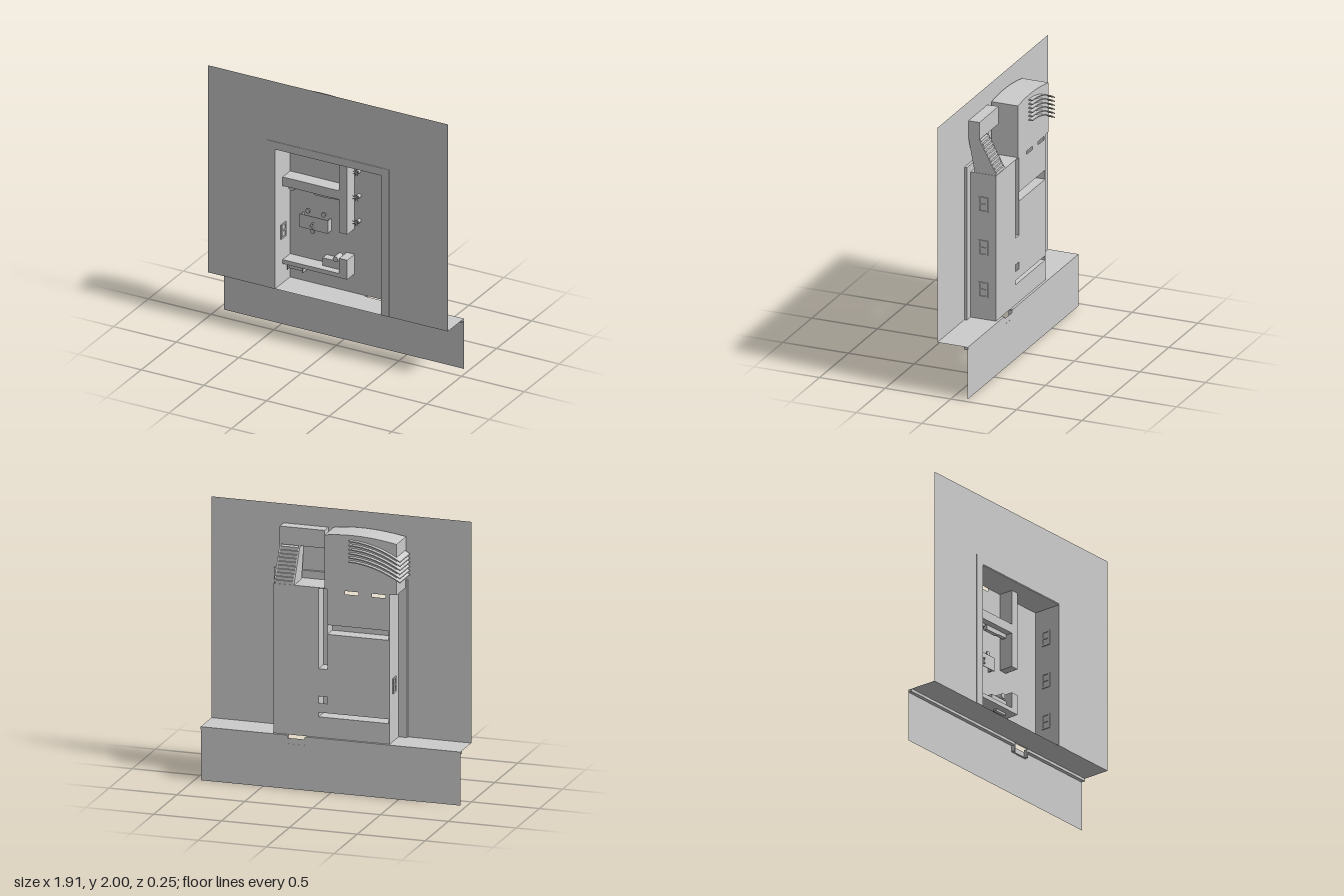
import * as THREE from 'three';

export function createModel() {
  const root = new THREE.Group();
  const gray = new THREE.MeshStandardMaterial({ color: 0xcccccc, side: THREE.DoubleSide });
  gray.name = 'light gray';

  const add = (name, geo, x = 0, y = 0, z = 0) => {
    const m = new THREE.Mesh(geo, gray);
    m.name = name;
    m.position.set(x, y, z);
    root.add(m);
    return m;
  };
  const box = (name, x0, x1, y0, y1, z0, z1) =>
    add(name, new THREE.BoxGeometry(x1 - x0, y1 - y0, z1 - z0), (x0 + x1) / 2, (y0 + y1) / 2, (z0 + z1) / 2);
  // box without its rear face
  const hollow = (name, ...b) => {
    const m = box(name, ...b);
    m.geometry.setIndex(Array.from(m.geometry.index.array).slice(0, 30));
    m.geometry.clearGroups();
  };
  const shape = (pts) => new THREE.Shape(pts.map((p) => new THREE.Vector2(p[0], p[1])));
  const rect = (x0, x1, y0, y1) => shape([[x0, y0], [x1, y0], [x1, y1], [x0, y1]]);
  const extrude = (s, depth) => new THREE.ExtrudeGeometry(s, { depth, bevelEnabled: false, curveSegments: 24 });

  const FLOOR = -0.093, WALL = 0.015, W = 0.425;

  // upper ground sheet with the opening for the building
  add('upperGround', new THREE.ShapeGeometry(shape([
    [-0.957, 0.39], [-W, 0.39], [-W, 1.48], [W, 1.48], [W, 0.39], [0.957, 0.39], [0.957, 2], [-0.957, 2],
  ])), 0, 0, 0.121);

  // bank, pavement, kerb and street
  const bank = add('bank', new THREE.PlaneGeometry(1.914, 0.203), 0, 0.39, 0.0195);
  bank.rotation.x = -Math.PI / 2;
  add('street', new THREE.ShapeGeometry(rect(-0.957, 0.957, 0, 0.37)), 0, 0, -0.11);
  for (const [a, b] of [[-0.957, 0.18], [0.33, 0.957]]) box('kerb', a, b, 0.37, 0.39, -0.111, -0.082);
  for (const x of [0.18, 0.318]) box('driveKerb', x, x + 0.012, 0.325, 0.385, -0.111, -0.082);
  box('driveKerb', 0.18, 0.33, 0.322, 0.328, -0.111, -0.1);

  // floor slab, open under the hollow walls
  const floor = rect(-W, W, 0.39, 1.48);
  for (const h of [
    [0.03, 0.095, 0.89, 1.475], [-0.42, 0.029, 1.146, 1.215],
    [-0.42, 0.095, 0.54, 0.572], [0.03, 0.095, 0.64, 0.69],
    [-0.2, -0.1, 1.45, 1.475], [-0.4, -0.3, 1.45, 1.475],
  ]) floor.holes.push(rect(...h));
  add('floor', new THREE.ShapeGeometry(floor), 0, 0, FLOOR);

  // outer walls and rim
  for (const s of [-1, 1]) {
    box('sideWall', s * W - 0.003, s * W + 0.003, 0.39, 1.48, FLOOR, 0.121);
    const a = s * W, b = s * 0.49;
    box('rimSide', Math.min(a, b), Math.max(a, b), 0.39, 1.535, 0.101, 0.124);
  }
  box('rimTop', -W, W, 1.48, 1.535, 0.101, 0.124);
  box('endWall', -W, W, 1.474, 1.48, FLOOR, 0.121);

  // inner walls
  hollow('innerWall', 0.03, 0.095, 0.89, 1.475, FLOOR, WALL);
  hollow('innerWall', -0.42, 0.03, 1.146, 1.215, FLOOR, WALL);
  hollow('innerWall', -0.42, 0.095, 0.54, 0.572, FLOOR, WALL);
  hollow('innerWall', 0.03, 0.095, 0.572, 0.69, FLOOR, WALL);

  // side windows with two panes each
  const windowAt = (x, y) => {
    const f = rect(-0.035, 0.035, -0.056, 0.056);
    f.holes.push(rect(-0.024, 0.024, -0.045, -0.005), rect(-0.024, 0.024, 0.005, 0.045));
    const m = add('windowFrame', extrude(f, 0.02), x - 0.01, y, 0.005);
    m.rotation.y = Math.PI / 2;
  };
  for (const y of [0.61, 0.925, 1.25]) windowAt(W, y);
  windowAt(-W, 0.795);

  // arched hall behind the end wall
  const hall = new THREE.Shape();
  hall.moveTo(0.05, 1.48);
  hall.lineTo(0.05, 1.868);
  hall.quadraticCurveTo(-0.19, 1.905, -0.48, 1.85);
  hall.lineTo(-0.48, 1.48);
  add('archedHall', extrude(hall, 0.202), 0, 0, -0.0935);

  // curved louvres around the hall
  for (let i = 0; i < 6; i++) {
    const y = 1.85 - i * 0.03, t = 0.008;
    const s = new THREE.Shape();
    s.moveTo(-0.135, y);
    s.quadraticCurveTo(-0.32, y, -0.515, y - 0.115);
    s.lineTo(-0.515, y - 0.115 - t);
    s.quadraticCurveTo(-0.32, y - t, -0.135, y - t);
    add('louvre', extrude(s, 0.215), 0, 0, -0.1245);
  }

  // stair, drawn as a (z, y) profile and swept along x
  const sweepX = (name, pts, x0, x1) => {
    const m = add(name, extrude(shape(pts.map(([z, y]) => [-z, y])), x1 - x0), x0, 0, 0);
    m.rotation.y = Math.PI / 2;
  };
  const steps = [], N = 10;
  for (let i = 0; i < N; i++) {
    const z = 0.035 - (0.125 * i) / N, y = 1.72 - (0.24 * i) / N;
    steps.push([z, y], [z - 0.125 / N, y]);
  }
  sweepX('stair', [[0.118, 1.72], ...steps, [-0.09, 1.48], [0.07, 1.475]], 0.285, 0.415);
  const cheek = [[0.119, 1.86], [0.035, 1.86], [0.035, 1.73], [-0.092, 1.49], [-0.092, 1.475], [0.07, 1.475], [0.119, 1.73]];
  sweepX('stairCheek', cheek, 0.415, 0.425);
  sweepX('stairCheek', cheek, 0.275, 0.285);
  box('landing', 0.095, 0.425, 1.73, 1.86, 0.035, 0.119);

  // table with stools and tableware
  const disc = (name, x, y, r, z0, z1) => {
    const m = add(name, new THREE.CylinderGeometry(r, r, z1 - z0, 16), x, y, (z0 + z1) / 2);
    m.rotation.x = Math.PI / 2;
  };
  box('tableTop', -0.318, -0.09, 0.826, 0.928, -0.05, -0.044);
  for (const x of [-0.315, -0.1]) box('tableLeg', x, x + 0.008, 0.83, 0.924, FLOOR, -0.05);
  for (const [x, y] of [[-0.265, 0.953], [-0.138, 0.953], [-0.228, 0.803]]) {
    disc('stoolSeat', x, y, 0.017, -0.068, -0.06);
    disc('stoolLeg', x, y, 0.005, FLOOR, -0.068);
  }
  for (const [x, y] of [[-0.21, 0.88], [-0.225, 0.86], [-0.21, 0.845]]) disc('cup', x, y, 0.007, -0.044, -0.03);

  // cabinets, counter and bench
  box('cabinet', -0.19, -0.065, 1.11, 1.145, -0.06, -0.03);
  box('cabinet', -0.065, 0.02, 1.115, 1.145, -0.06, -0.03);
  box('counter', -0.13, 0.03, 0.575, 0.635, FLOOR, -0.035);
  box('counterTop', -0.08, 0.02, 0.525, 0.54, -0.06, -0.035);
  disc('counterStool', -0.02, 0.655, 0.02, FLOOR, -0.02);
  box('benchSeat', -0.405, -0.29, 0.485, 0.52, -0.06, -0.045);
  for (const x of [-0.412, -0.292]) box('benchArm', x, x + 0.008, 0.48, 0.525, FLOOR, -0.03);
  disc('basin', -0.38, 1.12, 0.027, -0.07, -0.04);
  disc('lamp', -0.222, 1.132, 0.012, -0.07, -0.03);
  box('smallBox', 0.11, 0.142, 1.44, 1.47, FLOOR, -0.06);

  // potted plants along the inner wall
  for (const y of [1.35, 1.157, 0.963]) {
    disc('plantPot', 0.132, y, 0.014, FLOOR, -0.06);
    for (let k = 0; k < 7; k++) {
      const a = (k / 7) * Math.PI * 2;
      const leaf = add('leaf', new THREE.ConeGeometry(0.007, 0.034, 4),
        0.132 + Math.cos(a) * 0.014, y + Math.sin(a) * 0.012, -0.045);
      leaf.rotation.z = a - Math.PI / 2;
    }
  }
  return root;
}
